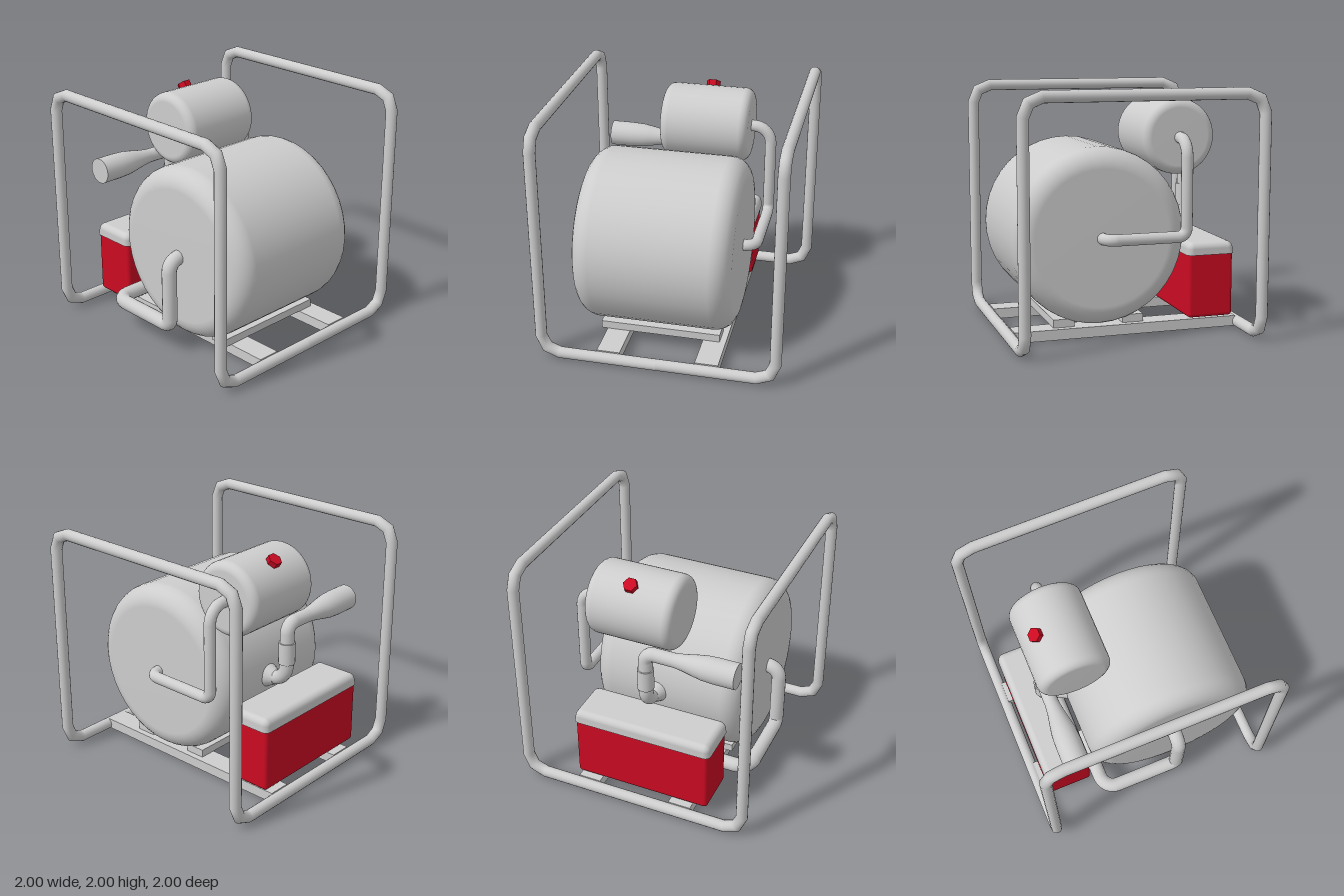
import * as THREE from 'three';
import { RoundedBoxGeometry } from 'three/addons/geometries/RoundedBoxGeometry.js';

const grey = new THREE.MeshStandardMaterial({ color: 0xcdcdcd });
grey.name = 'light grey metal';
const red = new THREE.MeshStandardMaterial({ color: 0xcb0a22 });
red.name = 'red paint';

const V = (x, y, z) => new THREE.Vector3(x, y, z);

// Rounds the corners of a polyline; each corner is [x, y, z, radius]
function roundPath(corners, steps) {
  const pts = corners.map((c) => V(c[0], c[1], c[2]));
  const out = [pts[0]];
  for (let i = 1; i < pts.length - 1; i++) {
    const p = pts[i], r = corners[i][3];
    const a = pts[i - 1].clone().sub(p).normalize();
    const b = pts[i + 1].clone().sub(p).normalize();
    const centre = p.clone().addScaledVector(a, r).addScaledVector(b, r);
    for (let k = 0; k <= steps; k++) {
      const t = (k / steps) * Math.PI / 2;
      out.push(centre.clone().addScaledVector(b, -r * Math.cos(t)).addScaledVector(a, -r * Math.sin(t)));
    }
  }
  out.push(pts[pts.length - 1]);
  return out;
}

// Sweeps a circle along a path with mitred joints and closed ends
function pipe(path, radius, sides = 16) {
  const dirs = path.slice(1).map((p, i) => p.clone().sub(path[i]).normalize());
  const d0 = dirs[0];
  const u = (Math.abs(d0.y) < 0.9 ? V(0, 1, 0) : V(1, 0, 0)).cross(d0).normalize();
  const w = d0.clone().cross(u);
  let ring = [];
  for (let j = 0; j < sides; j++) {
    const t = (j / sides) * Math.PI * 2;
    ring.push(path[0].clone().addScaledVector(u, radius * Math.cos(t)).addScaledVector(w, radius * Math.sin(t)));
  }
  const pos = [], idx = [];
  const push = (r) => r.forEach((p) => pos.push(p.x, p.y, p.z));
  push(ring);
  for (let i = 1; i < path.length; i++) {
    const d = dirs[i - 1];
    const n = i < dirs.length ? d.clone().add(dirs[i]).normalize() : d;
    ring = ring.map((p) => p.clone().addScaledVector(d, path[i].clone().sub(p).dot(n) / d.dot(n)));
    push(ring);
    for (let j = 0; j < sides; j++) {
      const a = (i - 1) * sides + j, b = (i - 1) * sides + (j + 1) % sides;
      idx.push(a, b, b + sides, a, b + sides, a + sides);
    }
  }
  // separate end discs keep the rims sharp
  const last = (path.length - 1) * sides;
  for (const [from, flip] of [[0, true], [last, false]]) {
    const base = pos.length / 3;
    for (let j = 0; j < sides * 3; j++) pos.push(pos[from * 3 + j]);
    for (let j = 1; j < sides - 1; j++) {
      idx.push(base, base + (flip ? j + 1 : j), base + (flip ? j : j + 1));
    }
  }
  const g = new THREE.BufferGeometry();
  g.setAttribute('position', new THREE.Float32BufferAttribute(pos, 3));
  g.setIndex(idx);
  g.computeVertexNormals();
  return g;
}

// Horizontal drum along x with rounded rims
function drum(x0, x1, radius, bevel) {
  const pts = [new THREE.Vector2(0, x0)];
  const arc = (x, sign) => {
    for (let k = 0; k <= 6; k++) {
      const t = ((sign < 0 ? k : 6 - k) / 6) * Math.PI / 2;
      pts.push(new THREE.Vector2(radius - bevel + bevel * Math.sin(t), x + sign * bevel * Math.cos(t)));
    }
  };
  arc(x0 + bevel, -1);
  arc(x1 - bevel, 1);
  pts.push(new THREE.Vector2(0, x1));
  return new THREE.LatheGeometry(pts, 40).rotateZ(-Math.PI / 2);
}

export function createModel() {
  const model = new THREE.Group();
  const add = (name, geo, mat, x = 0, y = 0, z = 0) => {
    const m = new THREE.Mesh(geo, mat);
    m.name = name;
    m.position.set(x, y, z);
    model.add(m);
    return m;
  };

  // Bent tube frame: one continuous loop
  const f = 0.953, lo = 0.047, hi = 1.953, b = 0.15;
  add('tubeFrame', pipe(roundPath([
    [0, lo, f], [f, lo, f, b], [f, hi, f, b], [f, hi, -f, b], [f, lo, -f, b],
    [-f, lo, -f, b], [-f, hi, -f, b], [-f, hi, f, b], [-f, lo, f, b], [0, lo, f],
  ], 2), 0.047), grey);

  // Floor rails and cross plates
  for (const x of [-0.405, 0.4]) add('floorRail', new THREE.BoxGeometry(0.19, 0.085, 1.86), grey, x, 0.055, 0);
  for (const z of [0.518, -0.055]) add('crossPlate', new THREE.BoxGeometry(0.995, 0.065, 0.172), grey, -0.053, 0.131, z);

  // Large drum and small upper tank
  add('mainDrum', drum(-0.715, 0.56, 0.71, 0.16), grey, 0, 0.815, 0.228);
  add('upperTank', drum(-0.235, 0.495, 0.303, 0.07), grey, 0, 1.59, -0.43);

  // Hexagonal filler cap
  const capGeo = new THREE.CylinderGeometry(0.058, 0.058, 0.055, 6).toNonIndexed();
  capGeo.computeVertexNormals();
  const cap = add('fillerCap', capGeo, red, 0.13, 1.853, -0.608);
  cap.rotation.set(-0.6, Math.PI / 6, 0);

  // Supply pipe on the +x side
  add('supplyPipe', pipe(roundPath([
    [0.5, 0.815, 0.23], [0.657, 0.815, 0.23, 0.09], [0.657, 0.815, -0.43, 0.07],
    [0.657, 1.585, -0.43, 0.14], [0.42, 1.585, -0.43],
  ], 6), 0.047), grey);

  // Return pipe on the -x side
  add('returnPipe', pipe(roundPath([
    [-0.65, 0.81, 0.225], [-0.81, 0.81, 0.225, 0.1], [-0.81, 0.24, 0.225, 0.06],
    [-0.81, 0.24, -0.44, 0.12], [-0.25, 0.24, -0.44],
  ], 6), 0.06), grey);

  // Exhaust: flared root, bent pipe, sleeve and silencer
  add('exhaustPipe', pipe(roundPath([
    [0, 0.805, -0.4], [0, 0.805, -0.655, 0.14], [0, 1.305, -0.655, 0.08], [-0.3, 1.305, -0.655],
  ], 6), 0.058), grey);
  add('exhaustRoot', new THREE.CylinderGeometry(0.058, 0.11, 0.1, 20).rotateX(-Math.PI / 2), grey, 0, 0.805, -0.5);
  add('exhaustSleeve', new THREE.CylinderGeometry(0.068, 0.068, 0.18, 20), grey, 0, 1.06, -0.655);
  const silencer = [[0.058, -0.25], [0.068, -0.33], [0.088, -0.43], [0.1, -0.5], [0.105, -0.6], [0.105, -0.77]]
    .map(([r, x]) => new THREE.Vector2(r, x)).reverse();
  add('silencer', new THREE.LatheGeometry(silencer, 24).rotateZ(-Math.PI / 2), grey, 0, 1.305, -0.655);
  add('silencerEnd', new THREE.CircleGeometry(0.105, 24).rotateY(-Math.PI / 2), grey, -0.77, 1.305, -0.655);

  // Red box with a flared grey lid
  add('boxBody', new RoundedBoxGeometry(1.15, 0.56, 0.385, 4, 0.03), red, -0.053, 0.39, -0.698);
  const lid = new RoundedBoxGeometry(1.16, 0.2, 0.385, 4, 0.05);
  const p = lid.attributes.position;
  for (let i = 0; i < p.count; i++) {
    const y = Math.max(p.getY(i), 0);
    const flare = (0.1 - y) * 0.12;
    p.setXYZ(i, p.getX(i) + Math.sign(p.getX(i)) * flare, y, p.getZ(i) + Math.sign(p.getZ(i)) * flare);
  }
  add('boxLid', lid, grey, -0.053, 0.63, -0.698);

  return model;
}
